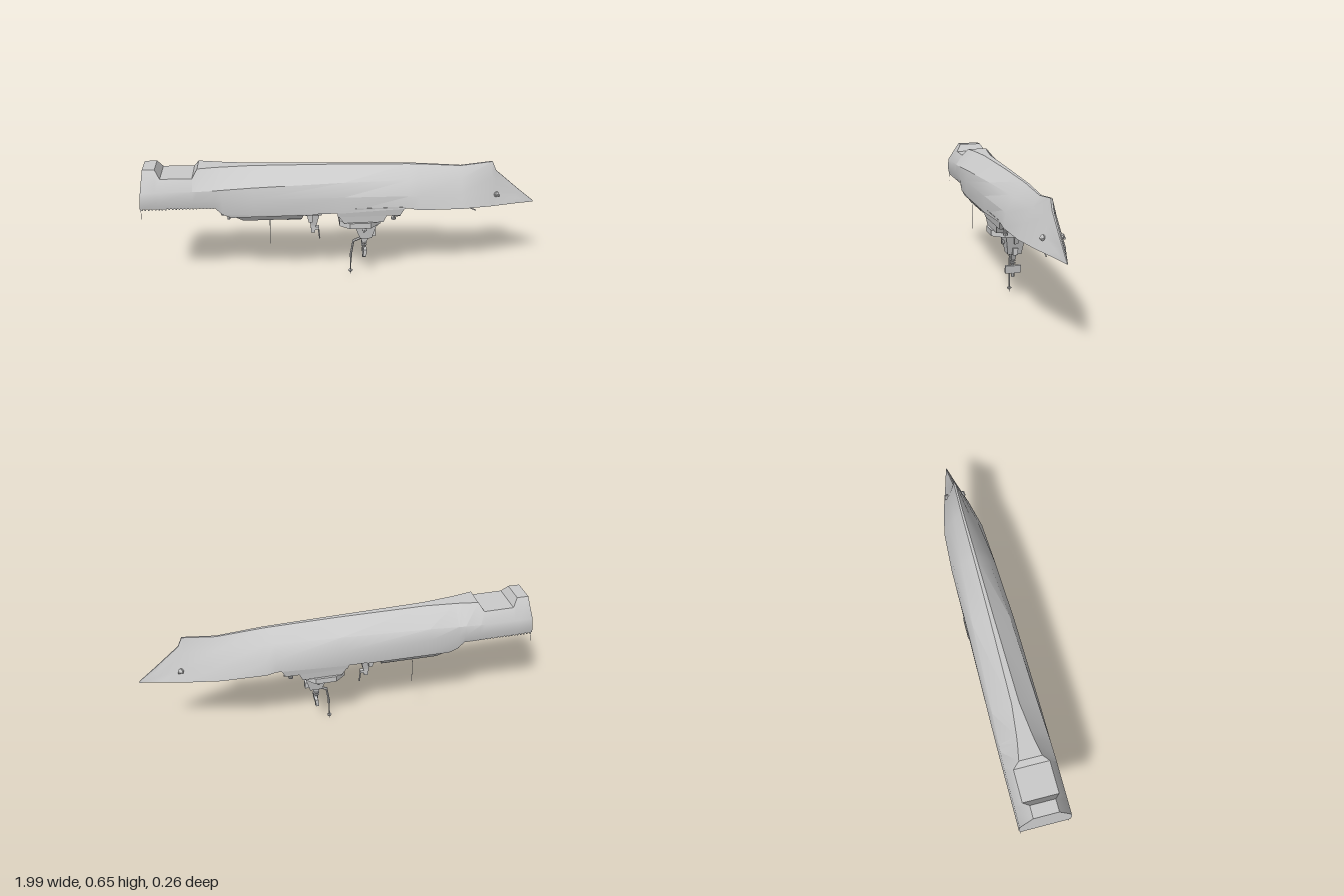
import * as THREE from 'three';
import { toCreasedNormals } from 'three/addons/utils/BufferGeometryUtils.js';

const mat = new THREE.MeshStandardMaterial({ color: 0xcccccc, side: THREE.DoubleSide });
const flat = new THREE.MeshStandardMaterial({ color: 0xcccccc, flatShading: true, side: THREE.DoubleSide });

// Inverted ship hull: x, deck y/z, side y/z, bilge y/z, keel y/z (z are half widths)
const STATIONS = [
  [-1.00, 0.47, 0.119, 0.505, 0.126, 0.555, 0.122, 0.652, 0.060],
  [-0.92, 0.468, 0.119, 0.505, 0.126, 0.555, 0.122, 0.652, 0.060],
  [-0.895, 0.467, 0.119, 0.505, 0.126, 0.555, 0.122, 0.612, 0.086],
  [-0.74, 0.465, 0.119, 0.505, 0.127, 0.555, 0.122, 0.610, 0.086],
  [-0.715, 0.464, 0.119, 0.505, 0.127, 0.555, 0.122, 0.648, 0.055],
  [-0.635, 0.462, 0.119, 0.505, 0.127, 0.557, 0.120, 0.647, 0.040],
  [-0.60, 0.425, 0.118, 0.505, 0.127, 0.558, 0.118, 0.646, 0.035],
  [-0.45, 0.415, 0.118, 0.505, 0.126, 0.562, 0.111, 0.643, 0.018],
  [0.00, 0.412, 0.117, 0.500, 0.120, 0.568, 0.094, 0.634, 0.010],
  [0.33, 0.427, 0.116, 0.490, 0.107, 0.562, 0.070, 0.624, 0.007],
  [0.38, 0.415, 0.115, 0.485, 0.103, 0.560, 0.065, 0.622, 0.007],
  [0.60, 0.409, 0.103, 0.480, 0.077, 0.550, 0.040, 0.605, 0.005],
  [0.763, 0.402, 0.067, 0.475, 0.044, 0.545, 0.023, 0.622, 0.004],
  [0.785, 0.401, 0.060, 0.465, 0.038, 0.525, 0.018, 0.572, 0.004],
  [0.90, 0.396, 0.027, 0.420, 0.018, 0.450, 0.009, 0.472, 0.003],
  [0.99, 0.391, 0.003, 0.393, 0.003, 0.395, 0.002, 0.397, 0.002],
];

function hullGeometry() {
  const rings = STATIONS.map(([x, ...p], i) => {
    const half = [0, 2, 4, 6].map(k => {
      const rake = i === 0 ? (p[k] - 0.47) * 0.11 : 0;
      return [x + rake, p[k], p[k + 1]];
    });
    return [...half, ...half.slice().reverse().map(([a, b, c]) => [a, b, -c])];
  });
  const out = [];
  const tri = (...pts) => pts.forEach(p => out.push(...p));
  for (let i = 0; i < rings.length - 1; i++) {
    for (let j = 0; j < 8; j++) {
      const k = (j + 1) % 8, A = rings[i], B = rings[i + 1];
      tri(A[j], B[j], B[k]);
      tri(A[j], B[k], A[k]);
    }
  }
  const stern = rings[0], bow = rings[rings.length - 1];
  for (let j = 1; j < 7; j++) {
    tri(stern[0], stern[j], stern[j + 1]);
    tri(bow[0], bow[j + 1], bow[j]);
  }
  const g = new THREE.BufferGeometry();
  g.setAttribute('position', new THREE.Float32BufferAttribute(out, 3));
  return toCreasedNormals(g, 0.5);
}

export function createModel() {
  const root = new THREE.Group();
  root.name = 'invertedShip';
  const ship = new THREE.Group();
  ship.name = 'ship';
  ship.rotation.y = 0.009;
  ship.position.z = -0.006;
  root.add(ship);

  const add = (name, geo, x = 0, y = 0, z = 0, m = flat) => {
    const mesh = new THREE.Mesh(geo, m);
    mesh.name = name;
    mesh.position.set(x, y, z);
    ship.add(mesh);
    return mesh;
  };
  const box = (name, w, h, d, x, y, z = 0) => add(name, new THREE.BoxGeometry(w, h, d), x, y, z);
  const cyl = (name, r1, r2, h, x, y, z = 0, n = 10) => add(name, new THREE.CylinderGeometry(r1, r2, h, n), x, y, z);
  // Block tapering between two levels, each given as [x0, x1, halfWidth, y]
  const taper = (name, top, bottom, z = 0) => {
    const g = new THREE.BoxGeometry(1, 1, 1), p = g.attributes.position;
    for (let i = 0; i < p.count; i++) {
      const [x0, x1, hz, y] = p.getY(i) > 0 ? top : bottom;
      p.setXYZ(i, p.getX(i) < 0 ? x0 : x1, y, Math.sign(p.getZ(i)) * hz);
    }
    return add(name, g, 0, 0, z);
  };
  // Thin straight rod between two points
  const rod = (name, a, b, r = 0.003) => {
    const A = new THREE.Vector3(...a), B = new THREE.Vector3(...b), d = B.clone().sub(A);
    const m = add(name, new THREE.CylinderGeometry(r, r, d.length(), 6));
    m.position.copy(A).add(B).multiplyScalar(0.5);
    m.quaternion.setFromUnitVectors(new THREE.Vector3(0, 1, 0), d.normalize());
    return m;
  };
  const both = f => [-1, 1].forEach(f);

  add('hull', hullGeometry(), 0, 0, 0, mat);

  // Aft hangar
  taper('hangar', [-0.61, -0.13, 0.117, 0.43], [-0.56, -0.13, 0.112, 0.405]);
  taper('hangarRoof', [-0.55, -0.2, 0.108, 0.41], [-0.5, -0.21, 0.085, 0.374]);
  both(s => {
    box('roofLocker', 0.07, 0.016, 0.03, -0.25, 0.374, s * 0.06);
    rod('whipAerial', [-0.37, 0.385, s * 0.102], [-0.372, 0.25, s * 0.104], 0.0014);
    rod('sternPole', [-0.995, 0.47, s * 0.115], [-0.998, 0.415, s * 0.117], 0.0012);
    cyl('sideMount', 0.012, 0.015, 0.03, -0.575, 0.41, s * 0.06);
    rod('sideMountBarrel', [-0.61, 0.4, s * 0.06], [-0.56, 0.4, s * 0.06], 0.005);
    cyl('sideMountCap', 0.008, 0.008, 0.03, -0.575, 0.39, s * 0.06, 8);
  });
  cyl('hangarDirector', 0.016, 0.012, 0.02, -0.49, 0.367);
  rod('hangarDirectorArm', [-0.53, 0.36, 0], [-0.47, 0.365, 0], 0.004);

  // Safety net posts around the flight deck
  for (let i = 0; i < 22; i++) {
    both(s => box('netPost', 0.007, 0.008, 0.003, -0.99 + i * 0.0165, 0.465, s * 0.117));
  }

  // Aft funnel and mast
  taper('funnelBase', [-0.21, -0.1, 0.07, 0.42], [-0.19, -0.11, 0.055, 0.375]);
  taper('funnel', [-0.175, -0.115, 0.03, 0.38], [-0.165, -0.135, 0.016, 0.3]);
  taper('funnelMast', [-0.165, -0.138, 0.011, 0.305], [-0.162, -0.142, 0.008, 0.255]);
  box('funnelMastFoot', 0.035, 0.016, 0.02, -0.138, 0.28);
  rod('funnelMastTip', [-0.125, 0.285, 0], [-0.118, 0.218, 0], 0.004);
  both(s => taper('exhaust', [-0.185, -0.155, 0.012, 0.38], [-0.175, -0.155, 0.01, 0.335], s * 0.04));

  // Bridge block and full-width bridge wings
  taper('deckhouse', [-0.04, 0.31, 0.116, 0.435], [-0.03, 0.285, 0.11, 0.388]);
  taper('bridgeLower', [-0.03, 0.22, 0.108, 0.395], [0.0, 0.2, 0.104, 0.35]);
  const wing = new THREE.Shape([[-0.02, -0.075], [0.03, -0.116], [0.135, -0.116], [0.19, -0.06],
    [0.19, 0.06], [0.135, 0.116], [0.03, 0.116], [-0.02, 0.075]].map(p => new THREE.Vector2(...p)));
  const wingGeo = new THREE.ExtrudeGeometry(wing, { depth: 0.03, bevelEnabled: false });
  wingGeo.rotateX(Math.PI / 2);
  add('bridgeWings', wingGeo, 0, 0.352);

  // Main mast tower
  taper('mastTower', [0.05, 0.18, 0.05, 0.325], [0.09, 0.15, 0.035, 0.225]);
  taper('mastNeck', [0.095, 0.14, 0.014, 0.226], [0.1, 0.125, 0.009, 0.19]);
  box('towerSensor', 0.035, 0.035, 0.026, 0.155, 0.243);
  taper('towerFront', [0.15, 0.2, 0.012, 0.33], [0.16, 0.185, 0.009, 0.285]);
  both(s => {
    box('towerSponson', 0.024, 0.012, 0.018, 0.11, 0.285, s * 0.046);
    cyl('towerDome', 0.007, 0.005, 0.014, 0.11, 0.277, s * 0.051, 8);
  });
  cyl('radarStem', 0.007, 0.009, 0.1, 0.112, 0.15, 0, 8);
  [0.185, 0.172].forEach(y => cyl('radarCollar', 0.015, 0.015, 0.004, 0.112, y));
  const radar = box('radarPanel', 0.016, 0.04, 0.08, 0.115, 0.14);
  radar.rotation.z = -0.12;
  cyl('radarTip', 0.009, 0.006, 0.016, 0.112, 0.115, 0, 8);

  // Pole mast
  rod('poleBracket', [0.1, 0.215, 0], [0.055, 0.195, 0], 0.007);
  rod('poleBrace', [0.058, 0.197, 0], [0.045, 0.12, 0], 0.006);
  rod('pole', [0.046, 0.14, 0], [0.043, 0.01, 0], 0.0035);
  cyl('poleCollar', 0.007, 0.007, 0.02, 0.045, 0.11, 0, 8);
  cyl('poleHead', 0.011, 0.011, 0.006, 0.043, 0.021, 0, 8);
  cyl('poleTip', 0.003, 0.001, 0.02, 0.043, 0.01, 0, 6);

  // Mounts ahead of the bridge
  both(s => {
    cyl('foreMount', 0.009, 0.009, 0.04, 0.255, 0.37, s * 0.073);
    cyl('foreMountBase', 0.017, 0.014, 0.008, 0.255, 0.382, s * 0.073);
    cyl('foreMountCap', 0.013, 0.012, 0.008, 0.255, 0.355, s * 0.073);
    rod('foreMountBarrel', [0.25, 0.368, s * 0.073], [0.29, 0.37, s * 0.073], 0.004);
  });
  taper('foreMagazine', [0.38, 0.52, 0.06, 0.42], [0.385, 0.515, 0.058, 0.408]);

  // Bow gun
  cyl('gunRing', 0.034, 0.034, 0.012, 0.6, 0.404, 0, 14);
  taper('gunTurret', [0.57, 0.635, 0.027, 0.405], [0.582, 0.62, 0.018, 0.372]);
  rod('gunBarrel', [0.62, 0.386, 0], [0.695, 0.35, 0], 0.003);

  // Bow bollards and anchors
  [0.72, 0.8].forEach(x => both(s => cyl('bollard', 0.005, 0.005, 0.008, x, 0.4, s * 0.025, 6)));
  both(s => {
    const a = cyl('anchorPipe', 0.012, 0.015, 0.018, 0.785, 0.457, s * 0.042, 8);
    a.rotation.set(s * 1.1, 0, -0.5);
    rod('anchorStock', [0.775, 0.455, s * 0.052], [0.8, 0.452, s * 0.049], 0.005);
  });
  return root;
}
